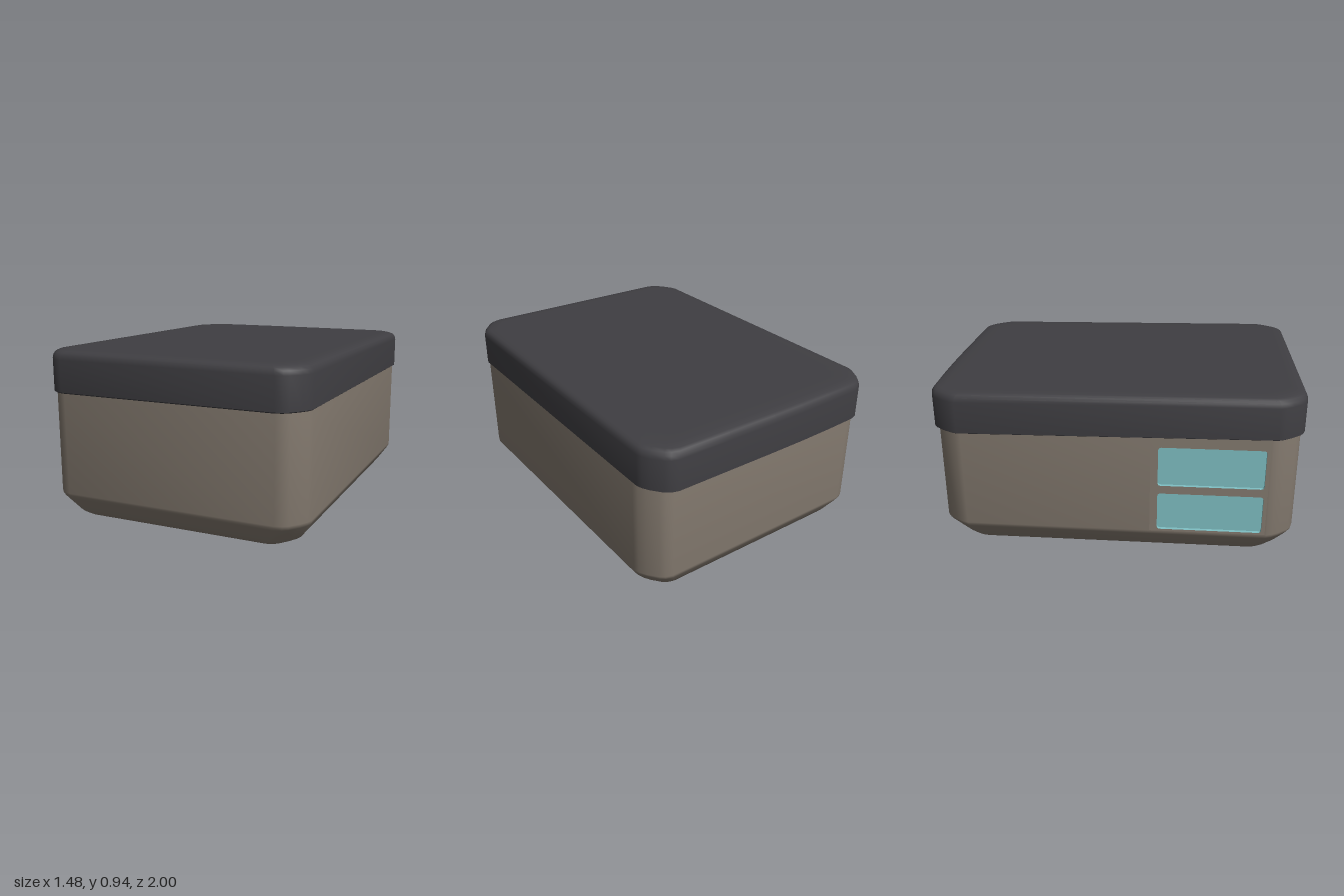
import * as THREE from 'three';
import { toCreasedNormals } from 'three/addons/utils/BufferGeometryUtils.js';

const mat = (color) => new THREE.MeshStandardMaterial({ color });

// Soft chamfer: distances from the square corner, along x and along z
const CORNER = [[0, 0.15], [0.01, 0.12], [0.032, 0.082], [0.075, 0.03], [0.1, 0.012], [0.14, 0]];

// Rounded-rectangle outline, running from +x towards +z; extra points go on the -x side
function outline(hx, hz, extra = []) {
  const pts = [];
  [[1, 1], [-1, 1], [-1, -1], [1, -1]].forEach(([sx, sz], i) => {
    const corner = i % 2 ? [...CORNER].reverse() : CORNER;
    corner.forEach(([a, b]) => pts.push([sx * (hx - a), sz * (hz - b)]));
    if (i === 1) pts.push(...extra);
  });
  return pts;
}

// Stack of [y, inset] rings closed at both ends; skip(ring, side) leaves an opening
function loft(pts, hx, hz, rings, skip = () => false) {
  const pos = [], index = [], n = pts.length, last = rings.length - 1;
  const all = [[rings[0][0], null], ...rings, [rings[last][0], null]];
  for (const [y, inset] of all) {
    for (const [x, z] of pts) {
      if (inset === null) pos.push(0, y, 0);
      else pos.push(x * (1 - inset / hx), y, z * (1 - inset / hz));
    }
  }
  for (let r = 0; r < all.length - 1; r++) {
    for (let i = 0; i < n; i++) {
      if (skip(r - 1, i)) continue;
      const j = (i + 1) % n;
      const a = r * n + i, b = r * n + j, c = b + n, d = a + n;
      if (r < all.length - 2) index.push(a, d, c);
      if (r > 0) index.push(a, c, b);
    }
  }
  const g = new THREE.BufferGeometry();
  g.setAttribute('position', new THREE.Float32BufferAttribute(pos, 3));
  g.setIndex(index);
  return g;
}

// Rounded rectangle drawn on a shape or path
function roundRect(target, x0, y0, x1, y1, r) {
  target.moveTo(x0 + r, y0);
  target.lineTo(x1 - r, y0).quadraticCurveTo(x1, y0, x1, y0 + r);
  target.lineTo(x1, y1 - r).quadraticCurveTo(x1, y1, x1 - r, y1);
  target.lineTo(x0 + r, y1).quadraticCurveTo(x0, y1, x0, y1 - r);
  target.lineTo(x0, y0 + r).quadraticCurveTo(x0, y0, x0 + r, y0);
  return target;
}

export function createModel() {
  const model = new THREE.Group();
  const add = (name, geometry, material) => {
    const mesh = new THREE.Mesh(geometry, material);
    mesh.name = name;
    model.add(mesh);
    return mesh;
  };
  const bodyMat = mat(0x857b70), lidMat = mat(0x3f3e42), windowMat = mat(0x7fc0c4);

  // Body: bevelled foot and upright walls, with an opening for the window panel
  const hx = 0.738, hz = 0.968, shift = 0.012;
  const panel = { z0: 0.2, z1: 0.82, y0: 0.156, y1: 0.68 };
  const bodyPts = outline(hx, hz, [[-hx, panel.z1 - shift], [-hx, panel.z0 - shift]]);
  const openSide = CORNER.length * 2;
  const bodyRings = [[0, 0.3], [0.006, 0.15], [0.014, 0.105], [0.03, 0.082], [0.05, 0.065],
    [0.13, 0.01], [0.145, 0.002], [panel.y0, 0], [panel.y1, 0], [0.78, 0]];
  const body = loft(bodyPts, hx, hz, bodyRings, (r, i) => r === 7 && i === openSide);
  body.translate(0, 0, shift);
  add('body', toCreasedNormals(body, 0.9), bodyMat);

  // Window panel: wall piece pierced by two recesses
  const depth = 0.018;
  const wall = new THREE.Shape();
  wall.moveTo(panel.z0, panel.y0).lineTo(panel.z1, panel.y0);
  wall.lineTo(panel.z1, panel.y1).lineTo(panel.z0, panel.y1);
  const place = (mesh, x) => {
    mesh.rotation.y = -Math.PI / 2;
    mesh.position.x = x;
  };
  [[0.168, 0.384], [0.43, 0.652]].forEach(([y0, y1], i) => {
    const box = [0.24, y0, 0.8, y1, 0.018];
    wall.holes.push(roundRect(new THREE.Path(), ...box));
    const pane = new THREE.ShapeGeometry(roundRect(new THREE.Shape(), ...box), 4);
    place(add(i ? 'upperWindow' : 'lowerWindow', pane, windowMat), -hx + depth);
  });
  const frame = new THREE.ExtrudeGeometry(wall, { depth, bevelEnabled: false, curveSegments: 4 });
  place(add('windowPanel', frame, [bodyMat, windowMat]), -hx + depth);

  // Lid: slopes down to the back, its back edge easing in towards one corner
  const lidPts = outline(0.742, 1);
  const backStart = CORNER.length * 3 - 1;
  const backEdge = [-0.4, -0.2, 0, 0.3].map((x) => [x, -1]);
  lidPts.splice(backStart + 1, 0, ...backEdge);
  const lidRings = [[0.712, 0.08], [0.712, 0.008], [0.718, 0], [0.89, 0], [0.912, 0.004],
    [0.926, 0.014], [0.934, 0.03], [0.938, 0.07], [0.938, 0.14]];
  const lid = loft(lidPts, 0.742, 1, lidRings);
  const p = lid.attributes.position;
  for (let i = 0; i < p.count; i++) {
    const x = p.getX(i), z = p.getZ(i);
    p.setY(i, p.getY(i) - 0.012 * (1 - z));
    if (z < -0.8 && x < 0) p.setZ(i, z + 0.05 * x * x);
  }
  add('lid', toCreasedNormals(lid, 0.9), lidMat);

  return model;
}
